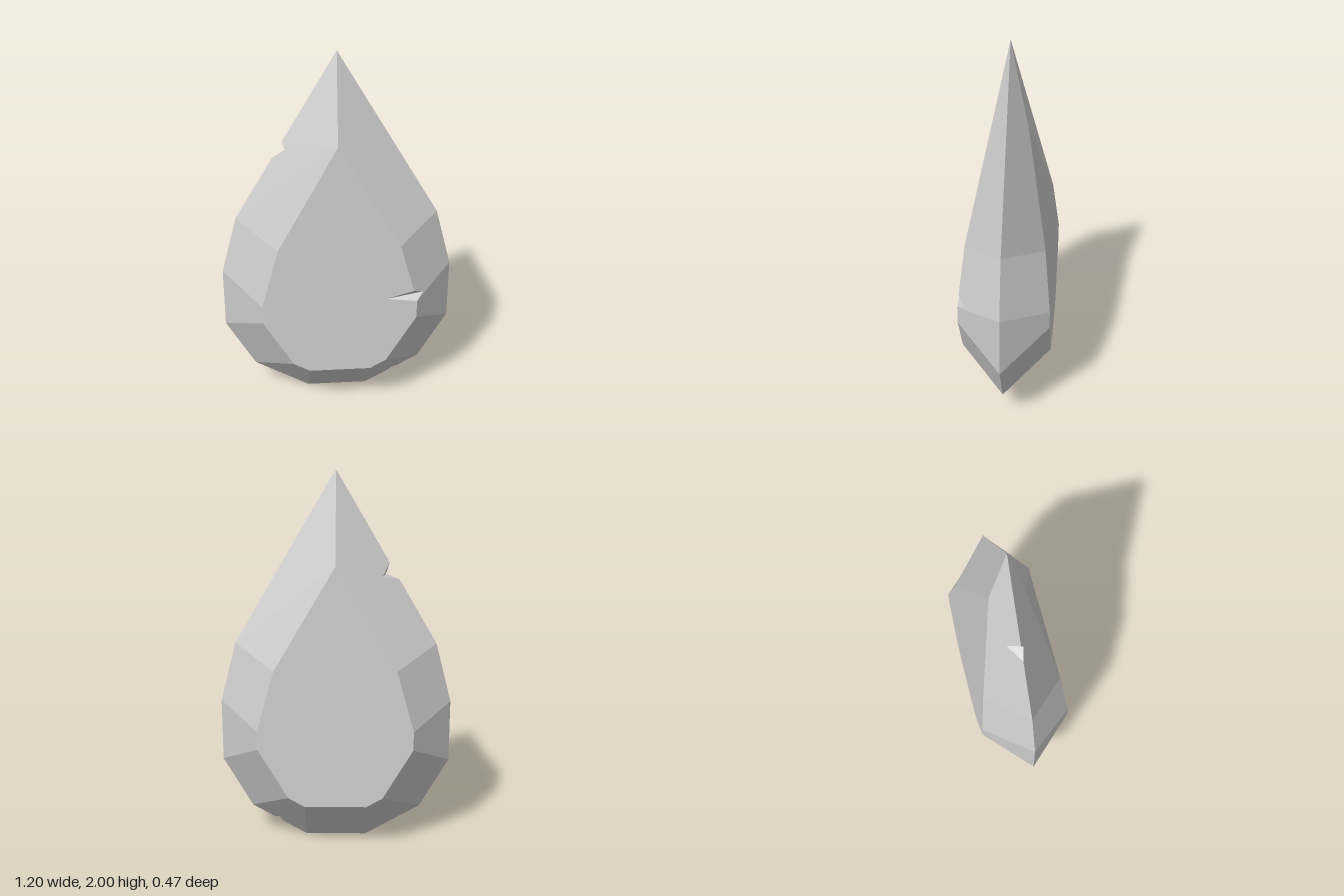
import * as THREE from 'three';

const V = (x, y, z = 0) => new THREE.Vector3(x, y, z);
const material = new THREE.MeshStandardMaterial({ color: 0xcccccc });
const chipMaterial = new THREE.MeshStandardMaterial({ color: 0xcccccc, side: THREE.DoubleSide });

// Right half of the outer edge and of the flat table, from the tip down
const edgeHalf = [V(0, 2), V(0.52, 1.1), V(0.602, 0.78), V(0.602, 0.446), V(0.45, 0.172), V(0.16, 0)];
const tableHalf = [V(0, 1.53, 0.09), V(0.312, 1.015, 0.202), V(0.4, 0.7, 0.235),
  V(0.4, 0.6, 0.235), V(0.245, 0.327, 0.235), V(0.16, 0.277, 0.235)];
const mirrorX = p => V(-p.x, p.y, p.z);
const ring = half => [...half, ...half.slice(1).reverse().map(mirrorX)];

// Nicks in the outer edge: ends on the edge, deepest points on front and back
const nicks = {
  4: { a: V(0.335, 0.104), b: V(0.29, 0.077), front: V(0.304, 0.115, 0.025), back: V(0.304, 0.115, -0.025) },
  10: { a: V(-0.323, 1.441), b: V(-0.272, 1.529), front: V(-0.254, 1.467, 0.017), back: V(-0.235, 1.468, -0.058) },
};
// Gouge across the front table edge
const gouge = { tip: V(0.24, 0.72, 0.232), top: V(0.383, 0.76, 0.229), end: V(0.435, 0.73, 0.192) };

// Triangulates loops of points as one facet with a single shared normal
function addFacet(out, loops, side) {
  const tris = [];
  for (const loop of loops) {
    const pts = THREE.ShapeUtils.area(loop) * side > 0 ? loop : [...loop].reverse();
    for (const t of THREE.ShapeUtils.triangulateShape(pts, [])) {
      const tri = t.map(i => pts[i]);
      if (THREE.ShapeUtils.area(tri) * side < 0) tri.reverse();
      tris.push(tri);
    }
  }
  const normal = V(0, 0);
  for (const [a, b, c] of tris) normal.add(b.clone().sub(a).cross(c.clone().sub(a)));
  normal.normalize();
  for (const p of tris.flat()) {
    out.position.push(p.x, p.y, p.z);
    out.normal.push(normal.x, normal.y, normal.z);
  }
}

function makeMesh(name, out) {
  const geometry = new THREE.BufferGeometry();
  for (const key of ['position', 'normal'])
    geometry.setAttribute(key, new THREE.Float32BufferAttribute(out[key], 3));
  const mesh = new THREE.Mesh(geometry, material);
  mesh.name = name;
  return mesh;
}

// Open wedge left by a chip: two triangles that meet along its deepest line
function makeChip(name, p, q, low, high) {
  const geometry = new THREE.BufferGeometry().setFromPoints([p, low, high, q, high, low]);
  geometry.computeVertexNormals();
  const mesh = new THREE.Mesh(geometry, chipMaterial);
  mesh.name = name;
  return mesh;
}

// One half of the stone: side 1 is the front, -1 the back
function makeHalf(side) {
  const label = side > 0 ? 'front' : 'back';
  const edge = ring(edgeHalf);
  const table = ring(tableHalf).map(p => V(p.x, p.y, p.z * side));
  const n = edge.length;

  // Bevel facets between the table and the outer edge
  const bevels = { position: [], normal: [] };
  for (let i = 0; i < n; i++) {
    const j = (i + 1) % n;
    const nick = nicks[i];
    const outer = [edge[i], ...(nick ? [nick.a, nick[label], nick.b] : []), edge[j]];
    const inner = [table[j], table[i]];
    if (side > 0 && i === 1) inner.splice(1, 0, gouge.end, gouge.top);
    let loops = [[...outer, ...inner]];
    // The two long upper facets fold along a diagonal that turns the same way round on each half
    if (i === 0 || i === n - 1) {
      const shoulder = i === 0 ? 1 : i;
      const outward = (i === 0) === (side > 0);
      loops = outward
        ? [[...outer, table[shoulder]], [edge[0], table[shoulder], table[0]]]
        : [[...outer, table[0]], [edge[shoulder], table[0], table[shoulder]]];
    }
    addFacet(bevels, loops, side);
  }

  // Table: sloping pointed top over a flat lower part, with the gouge cut from the front
  const face = { position: [], normal: [] };
  const [t0, t1, t2] = table;
  const t9 = table[9], t10 = table[10];
  const top = side > 0
    ? [[t0, t10, gouge.top], [t0, gouge.top, t1], [t10, t9, t2, gouge.tip, gouge.top]]
    : [[t0, t1, t2], [t0, t9, t10], [t0, t2, t9]];
  addFacet(face, [...top, table.slice(2, 10)], side);

  const half = new THREE.Group();
  half.name = label + 'Half';
  half.add(makeMesh(label + 'Bevels', bevels), makeMesh(label + 'Table', face));
  return half;
}

export function createModel() {
  const model = new THREE.Group();
  model.name = 'teardropGem';
  model.add(makeHalf(1), makeHalf(-1));
  model.add(makeChip('lowerEdgeChip', nicks[4].a, nicks[4].b, nicks[4].front, nicks[4].back));
  model.add(makeChip('upperEdgeChip', nicks[10].a, nicks[10].b, nicks[10].front, nicks[10].back));
  model.add(makeChip('frontGouge', gouge.top, tableHalf[2], gouge.tip, gouge.end));
  return model;
}
